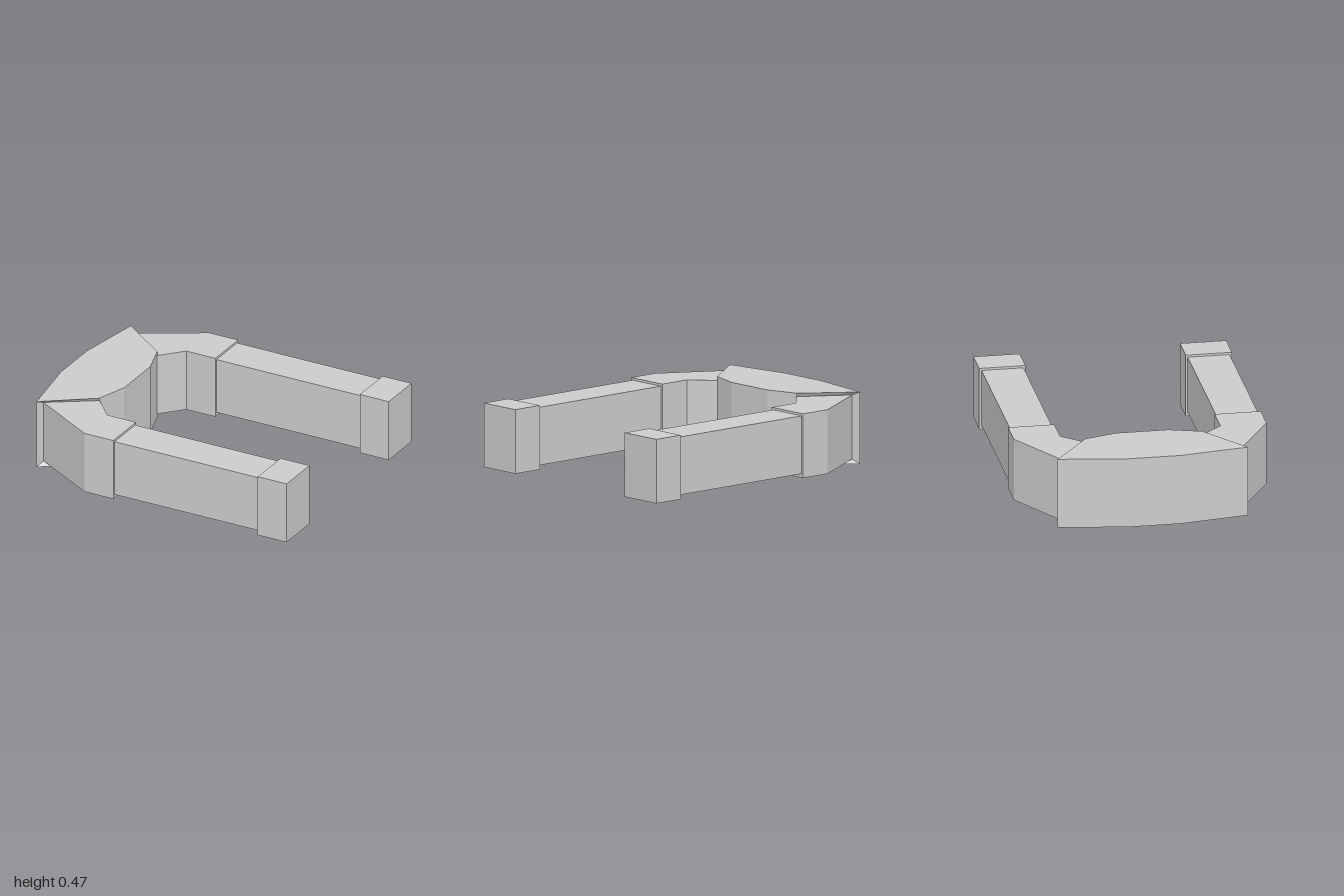
import * as THREE from 'three';

const material = new THREE.MeshStandardMaterial({ color: 0xcccccc, flatShading: true });

// Closed duct lofted through rectangular sections: outer [x, z], inner [x, z], bottom, top
function ductGeometry(sections) {
  const rings = sections.map(({ outer, inner, bottom, top }) => [
    [outer[0], bottom, outer[1]], [outer[0], top, outer[1]],
    [inner[0], top, inner[1]], [inner[0], bottom, inner[1]],
  ]);
  const positions = [];
  const quad = (a, b, c, d) => positions.push(...a, ...b, ...c, ...a, ...c, ...d);
  for (let i = 0; i < rings.length - 1; i++) {
    for (let j = 0; j < 4; j++) {
      const k = (j + 1) % 4;
      quad(rings[i][j], rings[i][k], rings[i + 1][k], rings[i + 1][j]);
    }
  }
  quad(...[...rings[0]].reverse());
  quad(...rings[rings.length - 1]);
  const geometry = new THREE.BufferGeometry();
  geometry.setAttribute('position', new THREE.Float32BufferAttribute(positions, 3));
  geometry.computeVertexNormals();
  return geometry;
}

function addBox(parent, name, [x0, x1], [y0, y1], [z0, z1]) {
  const mesh = new THREE.Mesh(new THREE.BoxGeometry(x1 - x0, y1 - y0, z1 - z0), material);
  mesh.position.set((x0 + x1) / 2, (y0 + y1) / 2, (z0 + z1) / 2);
  mesh.name = name;
  parent.add(mesh);
}

export function createModel() {
  const model = new THREE.Group();
  model.name = 'uShapedDuct';

  // Bend: two slim elbows joined by a larger middle section with a recessed step
  const slim = { bottom: 0.025, top: 0.44 };
  const large = { bottom: 0, top: 0.465 };
  const half = [
    { outer: [-0.26, 0.815], inner: [-0.26, 0.517], ...slim },
    { outer: [-0.47, 0.815], inner: [-0.47, 0.517], ...slim },
    { outer: [-0.91, 0.56], inner: [-0.61, 0.363], ...slim },
    { outer: [-0.93, 0.615], inner: [-0.605, 0.378], ...large },
    { outer: [-1, 0.17], inner: [-0.54, 0.17], ...large },
  ];
  const mirrored = half.map((s) => ({
    ...s, outer: [s.outer[0], -s.outer[1]], inner: [s.inner[0], -s.inner[1]],
  })).reverse();
  const bend = new THREE.Mesh(ductGeometry([...half, ...mirrored]), material);
  bend.name = 'bend';
  model.add(bend);

  // Straight arms with an end collar
  for (const side of [1, -1]) {
    const arm = new THREE.Group();
    arm.name = side > 0 ? 'frontArm' : 'backArm';
    const span = (a, b) => (side > 0 ? [a, b] : [-b, -a]);
    addBox(arm, 'straightDuct', [-0.26, 0.79], [0.05, 0.425], span(0.53, 0.8));
    addBox(arm, 'endCollar', [0.79, 1], [0.025, 0.44], span(0.517, 0.815));
    model.add(arm);
  }
  return model;
}
